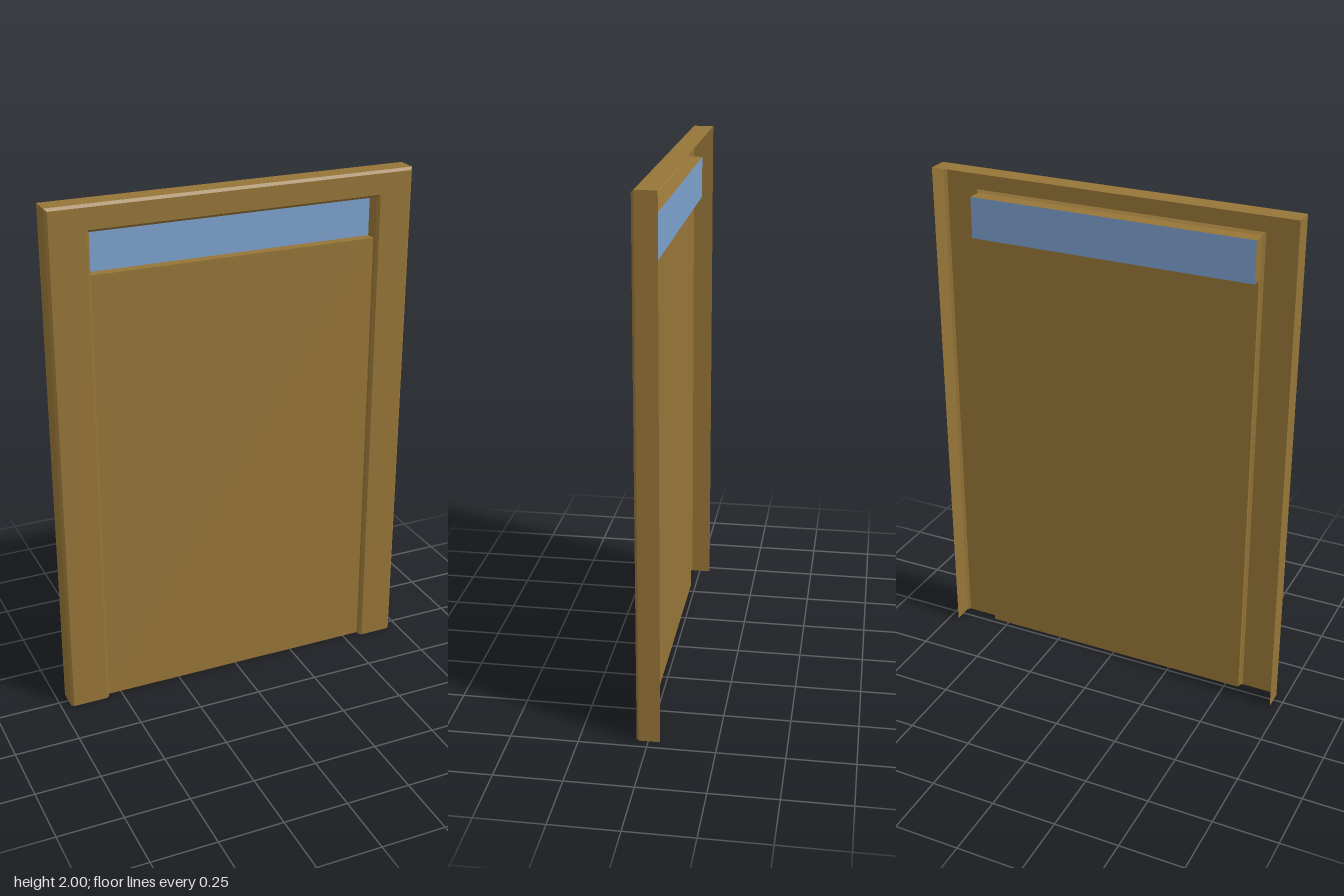
import * as THREE from 'three';

const wood = new THREE.MeshStandardMaterial({ color: 0x967538, side: THREE.DoubleSide });
const glass = new THREE.MeshStandardMaterial({ color: 0x7ba1cd, side: THREE.DoubleSide });

// Joins successive rectangular outlines [left, right, bottom, top, z] with flat strips.
// An open outline has no bottom edge.
function loft(name, levels, closed) {
  const paths = levels.map(([l, r, b, t, z]) =>
    [[l, b], [l, t], [r, t], [r, b]].map(([x, y]) => new THREE.Vector3(x, y, z)));
  const points = [];
  for (let k = 0; k + 1 < paths.length; k++) {
    for (let i = 0; i < (closed ? 4 : 3); i++) {
      const j = (i + 1) % 4;
      const [a, d, b, c] = [paths[k][i], paths[k][j], paths[k + 1][i], paths[k + 1][j]];
      points.push(a, b, c, a, c, d);
    }
  }
  const geometry = new THREE.BufferGeometry().setFromPoints(points);
  geometry.computeVertexNormals();
  const mesh = new THREE.Mesh(geometry, wood);
  mesh.name = name;
  return mesh;
}

// Flat upright sheet facing the front
function sheet(name, material, left, right, bottom, top, z) {
  const mesh = new THREE.Mesh(new THREE.PlaneGeometry(right - left, top - bottom), material);
  mesh.position.set((left + right) / 2, (bottom + top) / 2, z);
  mesh.name = name;
  return mesh;
}

export function createModel() {
  const model = new THREE.Group();
  model.name = 'door';

  const left = -0.555, right = 0.568, top = 1.9; // door opening
  const sill = 1.74; // lower edge of the window
  const panelZ = 0.02, glassZ = -0.02;

  // Hollow surround: outer flange, chamfer, face, inner chamfer, reveal
  model.add(loft('doorFrame', [
    [-0.712, 0.712, 0, 2, -0.044],
    [-0.712, 0.712, 0, 2, 0.034],
    [-0.702, 0.702, 0, 1.99, 0.044],
    [left - 0.01, right + 0.01, 0, top + 0.01, 0.044],
    [left, right, 0, top, 0.034],
    [left, right, 0, top, panelZ],
  ], false));

  model.add(sheet('doorPanel', wood, left, right, 0, sill, panelZ));

  // Recess leading back to the transom window
  model.add(loft('windowReveal', [
    [left, right, sill, top, panelZ],
    [left, right, sill, top, glassZ],
  ], true));
  model.add(sheet('windowGlass', glass, left, right, sill, top, glassZ));

  return model;
}
